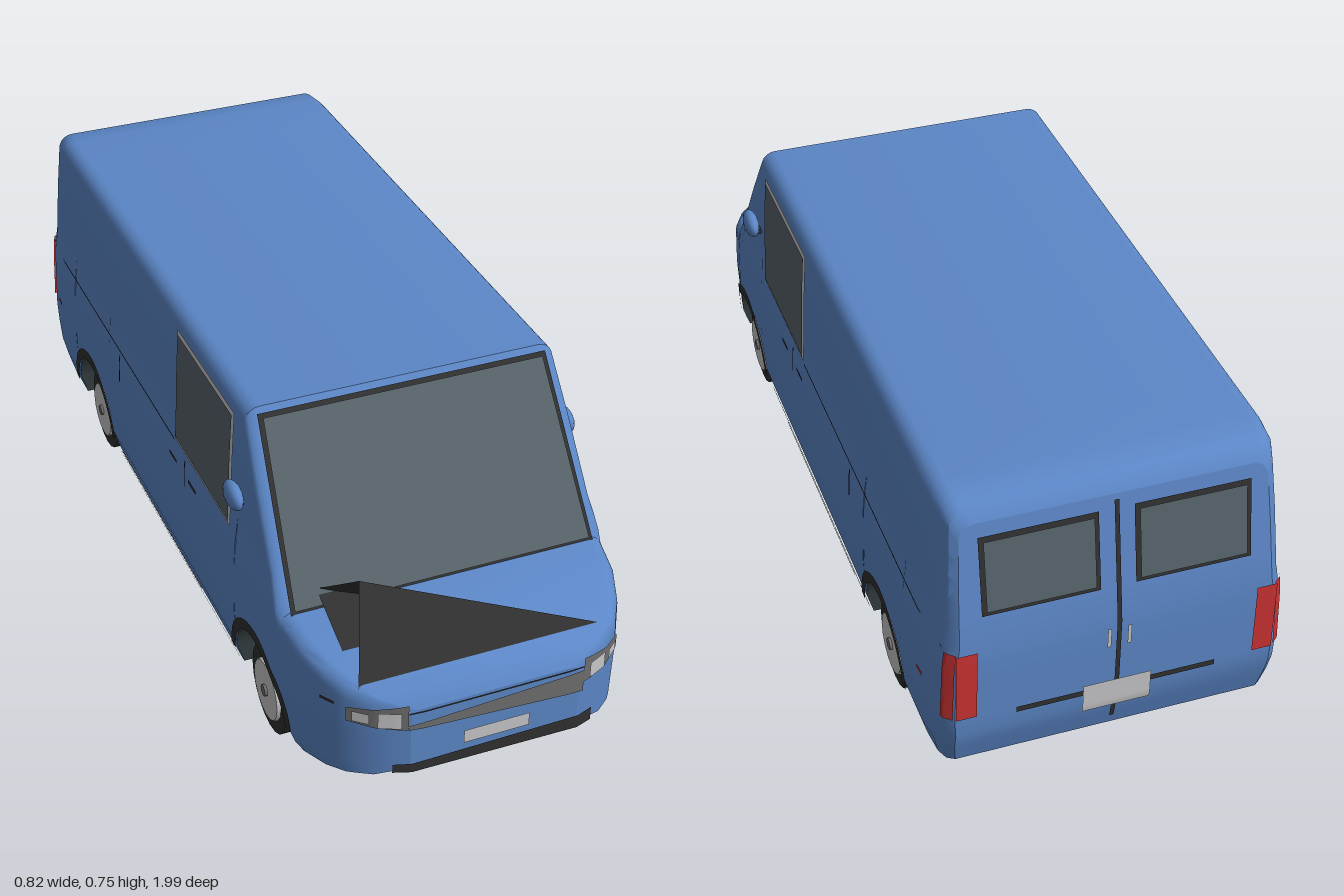
import * as THREE from 'three';
import { toCreasedNormals } from 'three/addons/utils/BufferGeometryUtils.js';

const mat = (name, color) => new THREE.MeshStandardMaterial({ name, color, side: THREE.DoubleSide });

// Piecewise linear interpolation through [key, value] pairs
function interp(table, t) {
  if (t <= table[0][0]) return table[0][1];
  for (let i = 1; i < table.length; i++) {
    const [a, va] = table[i - 1], [b, vb] = table[i];
    if (t <= b) return va + (vb - va) * (t - a) / (b - a);
  }
  return table[table.length - 1][1];
}

// Half width by height, plan taper by length, and the top and bottom outlines
const WIDTH = [[0.07, 0.362], [0.12, 0.38], [0.25, 0.386], [0.41, 0.38], [0.44, 0.373], [0.6, 0.366], [0.73, 0.357]];
const TAPER = [[-0.985, 0.91], [-0.97, 0.955], [-0.93, 0.985], [-0.85, 1], [0.7, 1], [0.8, 0.96], [0.87, 0.89],
  [0.92, 0.81], [0.96, 0.69], [0.98, 0.58], [0.99, 0.5]];
const TOP = [[-0.985, 0.715], [-0.97, 0.74], [-0.93, 0.756], [-0.85, 0.76], [0.48, 0.76], [0.72, 0.4], [0.8, 0.385],
  [0.87, 0.365], [0.92, 0.347], [0.96, 0.327], [0.98, 0.312], [0.99, 0.298]];
const BOTTOM = [[-0.985, 0.105], [-0.93, 0.088], [-0.85, 0.078], [0.75, 0.075], [0.87, 0.1], [0.96, 0.125], [0.99, 0.145]];
const WHEELS = [0.61, -0.585], ARCH = 0.145, HUB_Y = 0.108;

const sideX = (y, z) => interp(WIDTH, y) * interp(TAPER, z);

// Lower edge of the body, raised over the wheels
function sill(z) {
  let y = interp(BOTTOM, z);
  for (const c of WHEELS) {
    const d = Math.abs(z - c);
    if (d < ARCH) y = Math.max(y, HUB_Y + Math.sqrt(ARCH * ARCH - d * d));
  }
  return y;
}

// The tail leans forward at the top and tucks in at the bottom
function lean(y, z) {
  const k = THREE.MathUtils.clamp((-0.8 - z) / 0.185, 0, 1);
  return z + k * (Math.max(0, y - 0.42) * 0.17 + Math.max(0, 0.2 - y) * 0.3);
}

// Surface through rows of points
function grid(rows, crease = 0.6) {
  const n = rows[0].length, index = [];
  for (let r = 0; r < rows.length - 1; r++) {
    for (let i = 0; i < n - 1; i++) {
      const a = r * n + i, b = a + n;
      index.push(a, a + 1, b, a + 1, b + 1, b);
    }
  }
  const g = new THREE.BufferGeometry();
  g.setAttribute('position', new THREE.Float32BufferAttribute(rows.flat(2), 3));
  g.setIndex(index);
  return toCreasedNormals(g, crease);
}

// Open cross-section, from the left sill over the roof to the right sill
function section(z) {
  const yb = sill(z), yt = interp(TOP, z), r = 0.035, s = interp(TAPER, z), half = [];
  for (let i = 0; i <= 12; i++) {
    const y = yb + (yt - r - yb) * i / 12;
    half.push([interp(WIDTH, y) * s, y]);
  }
  const w = interp(WIDTH, yt - r);
  for (let i = 1; i <= 5; i++) {
    const a = i * Math.PI / 10;
    half.push([(w - r + r * Math.cos(a)) * s, yt - r + r * Math.sin(a)]);
  }
  return [...half, ...half.map(([x, y]) => [-x, y]).reverse()].map(([x, y]) => [x, y, lean(y, z)]);
}

export function createModel() {
  const van = new THREE.Group();
  van.name = 'van';
  const paint = mat('bluePaint', 0x5b86c6), glass = mat('glass', 0x56626a), black = mat('blackTrim', 0x303030),
    under = mat('underside', 0x353e41), silver = mat('silver', 0xc6c6c8), grey = mat('greyTrim', 0x6e6e6e),
    red = mat('redLamp', 0xc83232);
  const add = (name, geometry, material) => {
    const m = new THREE.Mesh(geometry, material);
    m.name = name;
    van.add(m);
    return m;
  };
  // Sheet given by a rule p(u, v)
  const patch = (name, material, nu, nv, p) => {
    const rows = [];
    for (let i = 0; i <= nu; i++) {
      rows.push(Array.from({ length: nv + 1 }, (_, j) => p(i / nu, j / nv)));
    }
    return add(name, grid(rows), material);
  };
  const mix = THREE.MathUtils.lerp;
  // Sheets laid on both flanks, the nose and the tail
  const onSides = (name, material, z0, z1, y0, y1, off = 0.004) => {
    for (const s of [1, -1]) {
      patch(name, material, 8, 4, (u, v) => {
        const y = mix(y0, y1, v), z = mix(z0, z1, u);
        return [s * (sideX(y, z) + off), y, lean(y, z)];
      });
    }
  };
  const noseZ = x => interp(TAPER.filter(t => t[0] > 0.6).map(([z, s]) => [-s, z]), -Math.abs(x) / 0.386);
  const onNose = (name, material, x0, x1, y0, y1, off = 0.006, y0end = y0, y1end = y1) =>
    patch(name, material, 12, 1, (u, v) => {
      const x = mix(x0, x1, u);
      return [x, mix(mix(y0, y0end, u), mix(y1, y1end, u), v), noseZ(x) + off];
    });
  const onTail = (name, material, x0, x1, y0, y1, off = 0.005) =>
    patch(name, material, 1, 6, (u, v) => {
      const y = mix(y0, y1, v);
      return [mix(x0, x1, u), y, lean(y, -0.985) - off];
    });

  // Body shell, with extra stations around each wheel arch
  const stations = [-0.985, -0.97, -0.95, -0.93, -0.85, -0.2, 0.1, 0.48, 0.72, 0.8, 0.835, 0.87, 0.9, 0.92, 0.94, 0.96, 0.98, 0.99];
  for (const c of WHEELS) {
    for (let i = 0; i <= 18; i++) stations.push(c + ARCH * 1.001 * Math.cos(i * Math.PI / 18));
  }
  stations.sort((a, b) => a - b);
  const rings = stations.map(section);
  add('bodyShell', grid(rings), paint);
  for (const [name, ring] of [['tailPanel', rings[0]], ['nosePanel', rings[rings.length - 1]]]) {
    const middle = ring.map(([, y, z]) => [0, y, z]);
    add(name, grid(name === 'tailPanel' ? [middle, ring] : [ring, middle]), paint);
  }
  add('underbody', grid(rings.map(r => [r[r.length - 1], r[0]])), under);
  const floor = add('floor', new THREE.BoxGeometry(0.54, 0.18, 1.55), under);
  floor.position.set(0, 0.166, 0.01);

  // Windscreen and its frame
  const screen = (name, material, w0, w1, t0, t1, off) => patch(name, material, 1, 1, (u, v) => {
    const t = mix(t0, t1, v), w = mix(w0, w1, v);
    return [mix(-w, w, u), mix(0.4, 0.76, t) + off * 0.55, mix(0.72, 0.48, t) + off * 0.83];
  });
  screen('windscreenFrame', black, 0.352, 0.333, -0.02, 0.965, 0.005);
  screen('windscreen', glass, 0.343, 0.323, 0.0, 0.94, 0.009);

  // Cab windows, door seams, handles and sills
  onSides('cabWindowFrame', silver, 0.065, 0.43, 0.432, 0.72, 0.003);
  onSides('cabWindow', glass, 0.073, 0.422, 0.44, 0.712, 0.006);
  onSides('beltSeam', black, -0.95, 0.06, 0.425, 0.428, 0.002);
  onSides('frontDoorSeam', black, 0.142, 0.148, 0.35, 0.42);
  onSides('rearDoorSeam', black, -0.344, -0.338, 0.345, 0.42);
  onSides('frontHandle', black, 0.18, 0.23, 0.384, 0.394, 0.007);
  onSides('rearHandle', black, 0.05, 0.1, 0.386, 0.394, 0.007);
  onSides('sill', black, -0.42, 0.45, 0.073, 0.086);
  onSides('sillSeam', black, -0.36, 0.24, 0.122, 0.126);
  onSides('sideMarker', red, -0.875, -0.845, 0.284, 0.294);
  onSides('noseMarker', black, 0.87, 0.9, 0.29, 0.297);

  // Headlamps, grille, plate and bumper intake
  for (const s of [1, -1]) {
    onNose('headlampHousing', grey, s * 0.2, s * 0.312, 0.252, 0.317, 0.005, 0.262, 0.298);
    onNose('headlampLens', silver, s * 0.215, s * 0.26, 0.26, 0.3, 0.009);
    onNose('indicator', silver, s * 0.275, s * 0.303, 0.267, 0.293, 0.009);
  }
  onNose('bonnetSeam', black, -0.2, 0.2, 0.293, 0.297);
  onNose('grille', grey, -0.2, 0.2, 0.252, 0.264, 0.006, 0.23, 0.286);
  onNose('frontPlate', silver, -0.075, 0.075, 0.18, 0.213, 0.007);
  onNose('bumperIntake', black, -0.23, 0.23, 0.138, 0.16, 0.006, 0.132, 0.166);

  // Raised dark panel folded up from the bonnet
  const A = [-0.285, 0.43, 0.7], B = [-0.235, 0.515, 0.81], C = [0.28, 0.338, 0.93], D = [-0.285, 0.338, 0.93];
  add('bonnetPanel', grid([[D, C], [A, B]], 0.1), black);
  add('bonnetPanelFace', grid([[D, C], [D, B]], 0.1), black);

  // Rear doors, lamps and plate
  for (const s of [1, -1]) {
    onTail('rearWindowFrame', black, s * 0.038, s * 0.29, 0.505, 0.685, 0.003);
    onTail('rearWindow', glass, s * 0.048, s * 0.28, 0.515, 0.675, 0.007);
    onTail('tailLamp', red, s * 0.305, s * 0.35, 0.25, 0.425, 0.005);
    onTail('rearHandle', silver, s * 0.018, s * 0.026, 0.36, 0.41, 0.008);
  }
  onSides('tailLampWrap', red, -0.985, -0.962, 0.25, 0.425, 0.005);
  onTail('rearDoorGap', black, -0.005, 0.005, 0.14, 0.705);
  onTail('rearTrimBar', black, -0.22, 0.22, 0.236, 0.25);
  onTail('rearPlate', silver, -0.075, 0.075, 0.19, 0.265, 0.008);

  // Door mirrors
  for (const s of [1, -1]) {
    const mirror = add('doorMirror', new THREE.SphereGeometry(1, 16, 12), paint);
    mirror.scale.set(0.018, 0.03, 0.044);
    mirror.position.set(s * 0.39, 0.56, 0.493);
    const stem = add('mirrorStem', new THREE.BoxGeometry(0.03, 0.012, 0.02), black);
    stem.position.set(s * 0.373, 0.54, 0.49);
  }

  // Wheels and dark arch trims
  for (const c of WHEELS) {
    for (const s of [1, -1]) {
      const tyre = add('tyre', new THREE.CylinderGeometry(0.103, 0.103, 0.075, 20), black);
      const rim = add('rim', new THREE.CylinderGeometry(0.07, 0.073, 0.012, 16), silver);
      const hub = add('hub', new THREE.CylinderGeometry(0.014, 0.014, 0.008, 10), grey);
      [[tyre, 0.322], [rim, 0.362], [hub, 0.37]].forEach(([m, x]) => {
        m.rotation.z = -s * Math.PI / 2;
        m.position.set(s * x, HUB_Y, c);
      });
      patch('archTrim', black, 20, 1, (u, v) => {
        const a = mix(0.1, Math.PI - 0.1, u), r = mix(0.142, 0.168, v);
        const y = HUB_Y + r * Math.sin(a), z = c + r * Math.cos(a);
        return [s * (sideX(y, z) + 0.005), y, z];
      });
    }
  }
  return van;
}
